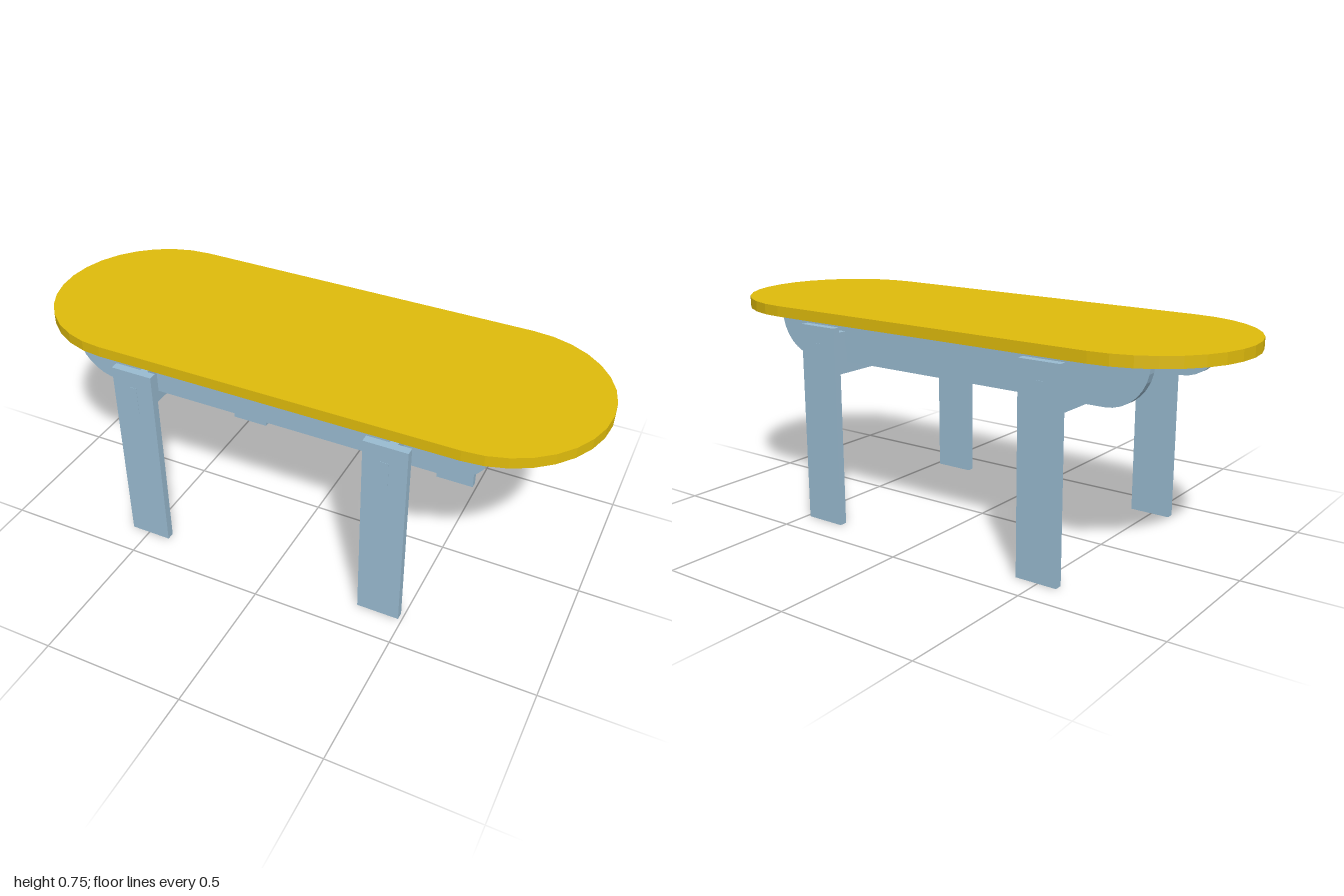
import * as THREE from 'three';

const yellow = new THREE.MeshStandardMaterial({ color: 0xe0bc0c, flatShading: true });
const blue = new THREE.MeshStandardMaterial({ color: 0x9abcd2, flatShading: true });

const LEG_X = [-0.493, 0.412];
const THICK = 0.028;

function add(group, name, geometry, material, x = 0, y = 0, z = 0) {
  const mesh = new THREE.Mesh(geometry, material);
  mesh.name = name;
  mesh.position.set(x, y, z);
  group.add(mesh);
}

// Flat board of the given outline, centred on its thickness
function board(shape, depth, curveSegments) {
  return new THREE.ExtrudeGeometry(shape, { depth, curveSegments, bevelEnabled: false })
    .translate(0, 0, -depth / 2);
}

// Long rail with rounded lower corners, notched underneath for the crossbars
function railShape() {
  const left = -0.795, right = 0.712, top = 0.715, bottom = 0.565, r = top - bottom;
  const s = new THREE.Shape();
  s.moveTo(right, top);
  s.lineTo(left, top);
  s.absarc(left + r, top, r, Math.PI, Math.PI * 1.5, false);
  for (const x of LEG_X) {
    s.lineTo(x - THICK / 2, bottom);
    s.lineTo(x - THICK / 2, 0.6);
    s.lineTo(x + THICK / 2, 0.6);
    s.lineTo(x + THICK / 2, bottom);
  }
  s.absarc(right - r, top, r, Math.PI * 1.5, Math.PI * 2, false);
  return s;
}

// Crossbar with end tenons and two notches in its upper edge
function crossbarShape() {
  const half = [
    [0.365, 0.525], [0.365, 0.55], [0.394, 0.55], [0.394, 0.65], [0.365, 0.65],
    [0.365, 0.675], [0.271, 0.675], [0.271, 0.6], [0.237, 0.6], [0.237, 0.675],
  ];
  const mirrored = half.map(([z, y]) => [-z, y]).reverse();
  return new THREE.Shape([...half, ...mirrored].map(([z, y]) => new THREE.Vector2(z, y)));
}

export function createModel() {
  const table = new THREE.Group();
  table.name = 'table';

  // Rounded tabletop
  const r = 0.363;
  const outline = new THREE.Shape();
  outline.absarc(1 - r, 0, r, -Math.PI / 2, Math.PI / 2, false);
  outline.absarc(r - 1, 0, r, Math.PI / 2, Math.PI * 1.5, false);
  const top = board(outline, 0.038, 8).rotateX(-Math.PI / 2);
  add(table, 'tabletop', top, yellow, 0, 0.734, 0);

  // Rails under the top
  const rail = board(railShape(), THICK, 4);
  add(table, 'frontRail', rail, blue, 0, 0, 0.257);
  add(table, 'backRail', rail, blue, 0, 0, -0.252);

  // Crossbars and plank legs
  const crossbar = board(crossbarShape(), THICK, 1).rotateY(-Math.PI / 2);
  const leg = new THREE.BoxGeometry(0.15, 0.71, THICK);
  LEG_X.forEach((x, i) => {
    const side = i ? 'Left' : 'Right';
    add(table, 'crossbar' + side, crossbar, blue, x);
    add(table, 'frontLeg' + side, leg, blue, x, 0.355, 0.379);
    add(table, 'backLeg' + side, leg, blue, x, 0.355, -0.379);
  });

  return table;
}
